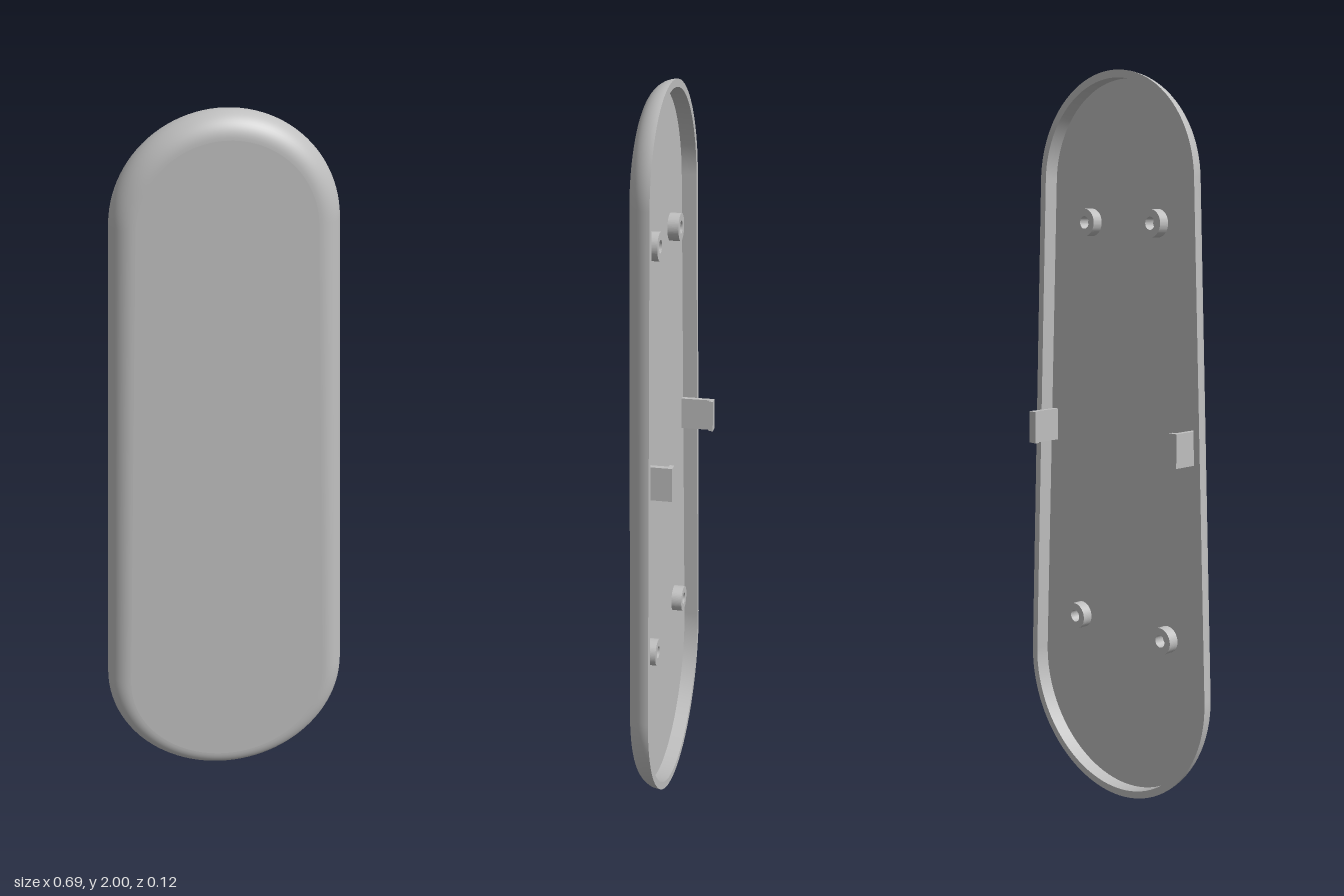
import * as THREE from 'three';

const BACK = -0.006, FRONT = 0.057, FLOOR = 0.035, WALL = 0.02;
const BOTTOM = { r: 0.345, y: 0.345 }, TOP = { r: 0.29, y: 1.71 };

// Tapered capsule outline, counter-clockwise, shrunk by an inset
function outline(inset) {
  const tilt = Math.asin((BOTTOM.r - TOP.r) / (TOP.y - BOTTOM.y));
  const points = [], steps = 48;
  const arc = (c, from, to) => {
    for (let i = 0; i <= steps; i++) {
      const a = from + (to - from) * i / steps;
      points.push(new THREE.Vector2((c.r - inset) * Math.cos(a), c.y + (c.r - inset) * Math.sin(a)));
    }
  };
  arc(TOP, tilt, Math.PI - tilt);
  arc(BOTTOM, Math.PI - tilt, 2 * Math.PI + tilt);
  return points;
}

// Skin through outlines given as [inset, z] pairs
function loft(profile) {
  const position = [], index = [];
  let n = 0;
  profile.forEach(([inset, z], i) => {
    const ring = outline(inset);
    n = ring.length;
    ring.forEach((p) => position.push(p.x, p.y, z));
    if (i === 0) return;
    for (let j = 0; j < n; j++) {
      const a = (i - 1) * n + j, b = (i - 1) * n + (j + 1) % n;
      index.push(a, b, b + n, a, b + n, a + n);
    }
  });
  const g = new THREE.BufferGeometry();
  g.setAttribute('position', new THREE.Float32BufferAttribute(position, 3));
  g.setIndex(index);
  g.computeVertexNormals();
  return g;
}

export function createModel() {
  const model = new THREE.Group();
  model.name = 'cover';
  const grey = new THREE.MeshStandardMaterial({ color: 0xbfbfbf });
  grey.name = 'grey plastic';
  const add = (name, geometry, parent = model) => {
    const mesh = new THREE.Mesh(geometry, grey);
    mesh.name = name;
    parent.add(mesh);
    return mesh;
  };

  // Outer shell with a quarter-round edge
  const radius = FRONT - BACK, edge = [];
  for (let i = 0; i <= 14; i++) {
    const a = i / 14 * Math.PI / 2;
    edge.push([radius * (1 - Math.cos(a)), BACK + radius * Math.sin(a)]);
  }
  add('roundedEdge', loft(edge));
  add('frontFace', new THREE.ShapeGeometry(new THREE.Shape(outline(radius)))).position.z = FRONT;

  // Hollow back
  add('rim', loft([[WALL, BACK], [0, BACK]]));
  add('innerWall', loft([[WALL, FLOOR], [WALL, BACK]]));
  const floor = new THREE.ShapeGeometry(new THREE.Shape(outline(WALL))).rotateY(Math.PI);
  add('cavityFloor', floor).position.z = FLOOR;

  // Four hollow screw bosses
  const ring = new THREE.Shape().absarc(0, 0, 0.037, 0, Math.PI * 2);
  ring.holes.push(new THREE.Path().absarc(0, 0, 0.017, 0, Math.PI * 2, true));
  const boss = new THREE.ExtrudeGeometry(ring, { depth: 0.03, bevelEnabled: false, curveSegments: 32 });
  for (const [x, y] of [[0.125, 1.605], [0.17, 0.485]]) {
    for (const side of [-1, 1]) add('screwBoss', boss).position.set(side * x, y, 0.005);
  }

  // Hooked snap clips on both sides
  for (const side of [-1, 1]) {
    const clip = new THREE.Group();
    clip.name = side > 0 ? 'leftClip' : 'rightClip';
    add('clipLeg', new THREE.BoxGeometry(0.015, 0.09, 0.095), clip).position.set(side * 0.2795, 1.03, -0.0125);
    add('clipHook', new THREE.BoxGeometry(0.011, 0.09, 0.012), clip).position.set(side * 0.2665, 1.03, -0.054);
    model.add(clip);
  }
  return model;
}
